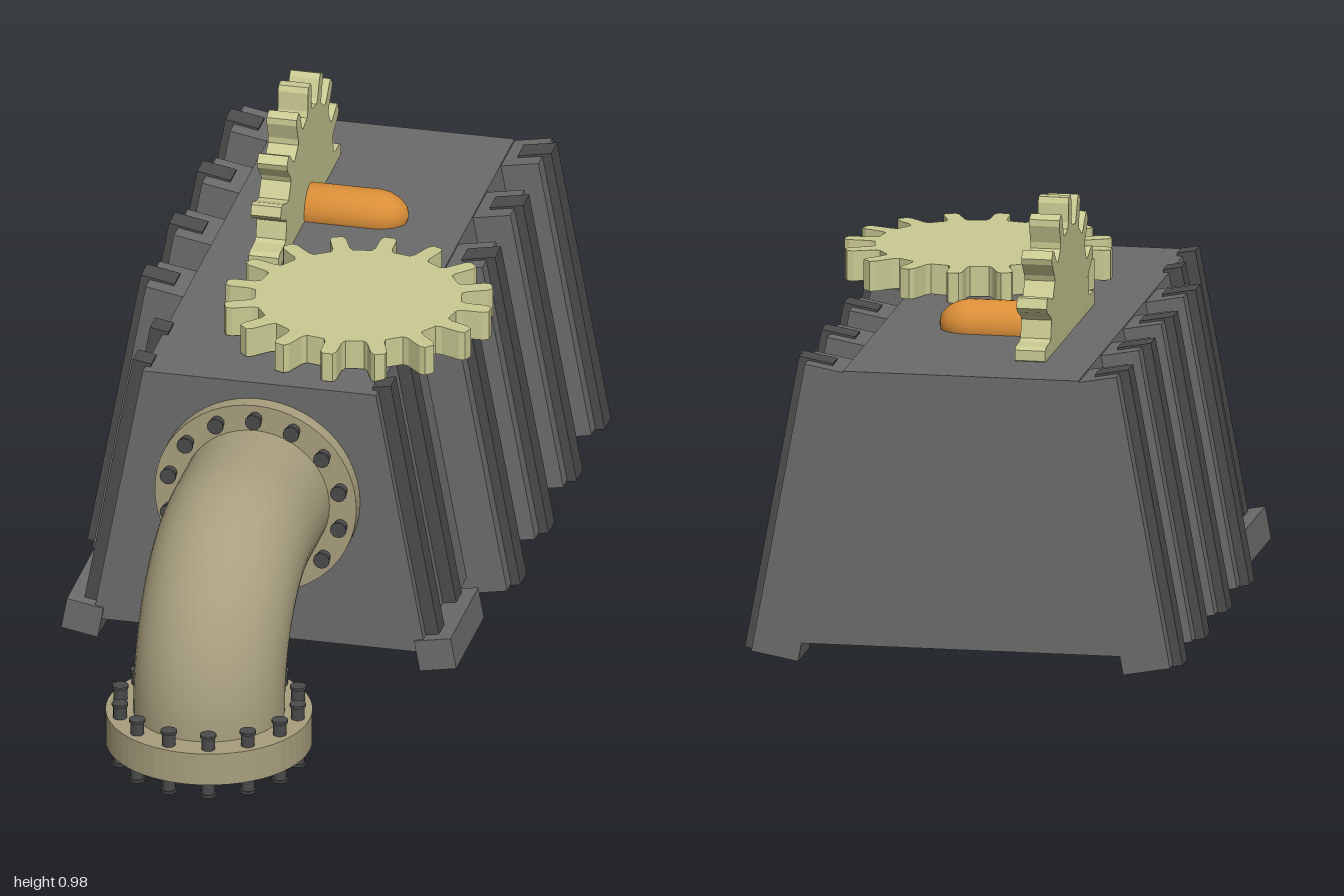
import * as THREE from 'three';

const mat = (color, extra = {}) => new THREE.MeshStandardMaterial({ color, ...extra });
const HOUSING = mat(0x6b6b6b), RIDGE = mat(0x4c4c4c), BOLT = mat(0x4a4a4a);
const PIPE = mat(0xa89f7e, { side: THREE.DoubleSide }), GEAR = mat(0xc9ca92), SHAFT = mat(0xdb8f38);

function add(parent, name, geometry, material, x = 0, y = 0, z = 0) {
  const mesh = new THREE.Mesh(geometry, material);
  mesh.name = name;
  mesh.position.set(x, y, z);
  parent.add(mesh);
  return mesh;
}

function group(parent, name, x = 0, y = 0, z = 0) {
  const g = new THREE.Group();
  g.name = name;
  g.position.set(x, y, z);
  parent.add(g);
  return g;
}

// Spur gear centred on its own z axis
function gearGeometry(teeth, root, tip, thickness) {
  const shape = new THREE.Shape();
  const step = (Math.PI * 2) / teeth;
  const profile = [[-0.27, root], [-0.2, root + 0.012], [-0.16, tip - 0.012], [-0.1, tip],
    [0.1, tip], [0.16, tip - 0.012], [0.2, root + 0.012], [0.27, root]];
  for (let i = 0; i < teeth; i++) {
    for (const [offset, r] of profile) {
      const a = (i + offset) * step;
      const px = r * Math.cos(a), py = r * Math.sin(a);
      if (i === 0 && offset === -0.27) shape.moveTo(px, py);
      else shape.lineTo(px, py);
    }
  }
  shape.closePath();
  return new THREE.ExtrudeGeometry(shape, { depth: thickness, bevelEnabled: false })
    .translate(0, 0, -thickness / 2);
}

// Flat ring around the y axis, from y0 to y1
function ringGeometry(inner, outer, y0, y1) {
  const points = [[inner, y0], [outer, y0], [outer, y0], [outer, y1], [outer, y1], [inner, y1], [inner, y1], [inner, y0]];
  const shape = new THREE.Shape().absarc(0, 0, outer, 0, Math.PI * 2);
  shape.holes.push(new THREE.Path().absarc(0, 0, inner, 0, Math.PI * 2, true));
  return new THREE.ExtrudeGeometry(shape, { depth: y1 - y0, bevelEnabled: false, curveSegments: 28 })
    .rotateX(-Math.PI / 2).translate(0, y0, 0);
}

// Circle of bolts around the y axis, shank from y0 to y1 with a head at each end
function boltCircle(parent, radius, y0, y1) {
  const count = 14;
  for (let i = 0; i < count; i++) {
    const a = (i / count) * Math.PI * 2;
    const bolt = group(parent, 'bolt', radius * Math.cos(a), 0, radius * Math.sin(a));
    add(bolt, 'boltShank', new THREE.CylinderGeometry(0.015, 0.015, y1 - y0, 14), BOLT, 0, (y0 + y1) / 2);
    for (const y of [y0 + 0.003, y1 - 0.003]) {
      add(bolt, 'boltHead', new THREE.CylinderGeometry(0.018, 0.018, 0.006, 14), BOLT, 0, y);
    }
  }
}

function buildHousing(root) {
  const housing = group(root, 'housing');
  const bottomX = 0.372, topX = 0.26, bottomY = 0.065, topY = 0.675;

  // Tapered body
  const shape = new THREE.Shape([[-bottomX, bottomY], [bottomX, bottomY], [topX, topY], [-topX, topY]]
    .map(([x, y]) => new THREE.Vector2(x, y)));
  add(housing, 'housingBody',
    new THREE.ExtrudeGeometry(shape, { depth: 1.3, bevelEnabled: false }), HOUSING, 0, 0, -1);

  // Sloping side walls: u points out of the wall, v runs up it
  const slope = Math.atan2(bottomX - topX, topY - bottomY);
  for (const side of [1, -1]) {
    const wall = group(housing, side > 0 ? 'leftWall' : 'rightWall', side * bottomX, bottomY, 0);
    wall.rotation.z = side * slope;
    const block = (name, material, [u0, u1], [v0, v1], z, width) =>
      add(wall, name, new THREE.BoxGeometry(u1 - u0, v1 - v0, width), material,
        side * (u0 + u1) / 2, (v0 + v1) / 2, z);

    for (let i = 0; i < 4; i++) {
      const z = -0.935 + i * 0.263;
      block('wideRib', HOUSING, [-0.02, 0.085], [-0.038, 0.617], z, 0.13);
      block('ribRidge', RIDGE, [0.03, 0.106], [-0.042, 0.622], z, 0.056);
    }
    for (const z of [0.09, 0.252]) {
      block('frontRidge', RIDGE, [-0.012, 0.03], [0.02, 0.629], z, 0.05);
    }
    block('frontFoot', HOUSING, [-0.02, 0.063], [-0.04, 0.032], 0.175, 0.26);
  }
}

function buildPipe(root) {
  const pipe = group(root, 'elbowPipe');
  const bend = 0.29, axisY = 0.412, axisZ = 0.77;
  const bendY = axisY - bend, bendZ = axisZ - bend;

  // Outer and inner skins: level run, quarter bend, short drop
  for (const [skin, r] of [['outer', 0.165], ['inner', 0.14]]) {
    add(pipe, skin + 'Bend', new THREE.TorusGeometry(bend, r, 48, 9, Math.PI / 2), PIPE, 0, bendY, bendZ)
      .rotation.y = -Math.PI / 2;
    add(pipe, skin + 'LevelRun', new THREE.CylinderGeometry(r, r, bendZ - 0.3, 48, 1, true), PIPE,
      0, axisY, (bendZ + 0.3) / 2).rotation.x = Math.PI / 2;
    add(pipe, skin + 'Drop', new THREE.CylinderGeometry(r, r, bendY - 0.065, 48, 1, true), PIPE,
      0, (bendY + 0.065) / 2, axisZ);
  }
  add(pipe, 'pipeLip', ringGeometry(0.14, 0.166, 0.063, 0.067), PIPE, 0, 0, axisZ);

  // Flange on the open end
  const lower = group(pipe, 'lowerFlange', 0, 0, axisZ);
  add(lower, 'flangeRing', ringGeometry(0.165, 0.225, 0.037, 0.112), PIPE);
  boltCircle(lower, 0.198, 0, 0.147);

  // Flange against the housing
  const upper = group(pipe, 'housingFlange', 0, axisY, 0.3);
  upper.rotation.x = Math.PI / 2;
  add(upper, 'flangeRing', ringGeometry(0.16, 0.225, 0, 0.035), PIPE);
  const bolts = group(upper, 'flangeBolts');
  bolts.rotation.y = Math.PI / 2;
  boltCircle(bolts, 0.195, 0.005, 0.06);
}

function buildGears(root) {
  // Flat gear on its upright shaft
  const flat = group(root, 'flatGear', 0.143, 0.712, -0.03);
  add(flat, 'flatGearWheel', gearGeometry(16, 0.225, 0.294, 0.067), GEAR).rotation.x = -Math.PI / 2;
  add(flat, 'flatGearShaft', new THREE.CylinderGeometry(0.053, 0.053, 0.08, 32), SHAFT, 0, -0.06);

  // Upright gear, half sunk in the housing
  const upright = group(root, 'uprightGear', -0.123, 0.689, -0.548);
  add(upright, 'uprightGearWheel', gearGeometry(16, 0.225, 0.291, 0.067), GEAR).rotation.y = Math.PI / 2;

  // Bullet-ended shaft along x
  const profile = [[0, -0.02], [0.053, -0.02], [0.053, 0.19], [0.049, 0.21], [0.038, 0.232], [0.022, 0.248], [0, 0.255]]
    .map(([r, y]) => new THREE.Vector2(r, y));
  add(upright, 'uprightGearShaft', new THREE.LatheGeometry(profile, 32), SHAFT).rotation.z = -Math.PI / 2;
}

export function createModel() {
  const model = new THREE.Group();
  model.name = 'gearbox';
  buildHousing(model);
  buildPipe(model);
  buildGears(model);
  return model;
}
